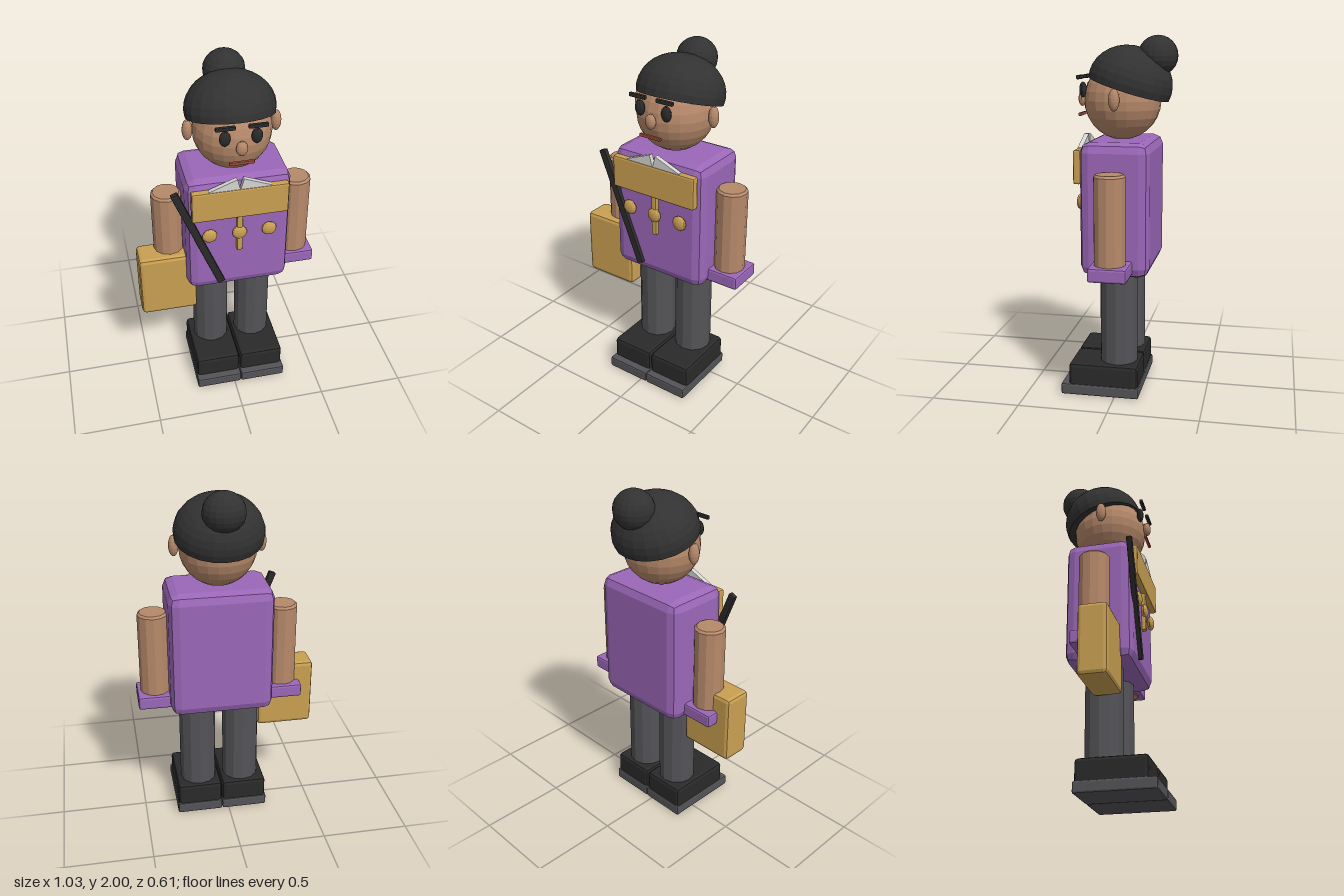
import * as THREE from 'three';
import { RoundedBoxGeometry } from 'three/addons/geometries/RoundedBoxGeometry.js';

const mat = (name, color) => {
  const m = new THREE.MeshStandardMaterial({ color, flatShading: true });
  m.name = name;
  return m;
};

export function createModel() {
  const purple = mat('purple cloth', 0x9b67b8);
  const gold = mat('gold', 0xcaa052);
  const skin = mat('skin', 0xb6896a);
  const hair = mat('hair black', 0x323232);
  const black = mat('shoe black', 0x2a2a2a);
  const grey = mat('trouser grey', 0x545458);
  const white = mat('collar white', 0xd6d6d4);
  const red = mat('lip red', 0x9e4a38);

  const root = new THREE.Group();
  root.name = 'figure';
  const CX = 0.04; // the body's centre line

  const add = (name, geometry, material, x, y, z, parent = root) => {
    const m = new THREE.Mesh(geometry, material);
    m.name = name;
    m.position.set(x, y, z);
    parent.add(m);
    return m;
  };
  // box given by its limits on each axis, with bevelled edges
  const block = (name, material, [x0, x1], [y0, y1], [z0, z1], r) =>
    add(name, new RoundedBoxGeometry(x1 - x0, y1 - y0, z1 - z0, 1, r), material,
      (x0 + x1) / 2, (y0 + y1) / 2, (z0 + z1) / 2);
  const ball = (name, material, x, y, z, rx, ry, rz, seg = 14) => {
    const g = new THREE.SphereGeometry(1, seg, Math.round(seg * 0.65));
    return add(name, g.scale(rx, ry, rz), material, x, y, z);
  };
  // twelve-sided limb with a small bevel at each end
  const limb = (name, material, x, z, r, y0, y1) => {
    const b = 0.012;
    const profile = [[0, y0], [r - b, y0], [r, y0 + b], [r, y1 - b], [r - b, y1], [0, y1]]
      .map(([px, py]) => new THREE.Vector2(px, py));
    return add(name, new THREE.LatheGeometry(profile, 12), material, x, 0, z);
  };

  // torso
  block('torso', purple, [-0.25, 0.335], [0.705, 1.44], [-0.193, 0.188], 0.055);

  // legs, shoes, arms and cuffs
  for (const s of [-1, 1]) {
    const side = s > 0 ? 'left' : 'right';
    limb(side + 'Leg', grey, CX + s * 0.129, -0.003, 0.107, 0.1, 0.73);
    const span = (a, b) => (s > 0 ? [CX + a, CX + b] : [CX - b, CX - a]);
    block(side + 'Shoe', black, span(0.003, 0.265), [0.02, 0.185], [-0.13, 0.262], 0.02);
    block(side + 'Sole', grey, span(0.001, 0.27), [0, 0.065], [-0.137, 0.306], 0.01);
    const ax = CX + s * 0.369;
    limb(side + 'Arm', skin, ax, 0, 0.086, 0.724, 1.29);
    block(side + 'Cuff', purple, [ax - 0.105, ax + 0.105], [0.73, 0.807], [-0.107, 0.102], 0.012);
  }

  // bag at the right hand
  block('bag', gold, [-0.517, -0.19], [0.515, 0.913], [-0.04, 0.123], 0.022);

  // chest yoke, placket and buttons
  block('yoke', gold, [-0.225, 0.307], [1.213, 1.398], [0.18, 0.222], 0.01);
  block('placket', gold, [0.025, 0.057], [0.98, 1.23], [0.18, 0.212], 0.007);
  for (const i of [-1, 0, 1])
    ball('button', gold, CX + i * 0.167, 1.102, 0.204, 0.042, 0.042, 0.02);

  // collar points
  for (const s of [-1, 1]) {
    const shape = new THREE.Shape(
      [[0.17, 1.40], [0.018, 1.46], [-0.002, 1.385], [0.17, 1.38]]
        .map(([x, y]) => new THREE.Vector2(s * x, y)));
    const g = new THREE.ExtrudeGeometry(shape, { depth: 0.026, bevelEnabled: false });
    add('collarPoint', g, white, CX, 0, 0.191);
  }

  // slanted baton across the chest
  const baton = add('baton', new RoundedBoxGeometry(0.042, 0.69, 0.03, 1, 0.006),
    black, -0.187, 1.08, 0.195);
  baton.rotation.z = 0.376;

  // head and face
  ball('head', skin, CX, 1.65, 0, 0.214, 0.218, 0.214, 22);
  for (const s of [-1, 1]) {
    ball('ear', skin, CX + s * 0.24, 1.663, 0.002, 0.028, 0.06, 0.03);
    ball('eye', black, CX + s * 0.084, 1.708, 0.205, 0.03, 0.043, 0.02);
    const x = CX + s * 0.085;
    block('eyebrow', black, [x - 0.052, x + 0.052], [1.765, 1.787], [0.211, 0.231], 0.005);
  }
  ball('nose', skin, CX, 1.655, 0.228, 0.031, 0.042, 0.023);
  block('mouth', red, [-0.027, 0.107], [1.562, 1.58], [0.221, 0.237], 0.004);

  // hair cap, tilted back and closed underneath, with a bun
  const rim = 0.56 * Math.PI;
  const profile = [new THREE.Vector2(0, Math.cos(rim))];
  for (let i = 9; i >= 0; i--) {
    const t = (rim * i) / 9;
    profile.push(new THREE.Vector2(Math.sin(t), Math.cos(t)));
  }
  const cap = new THREE.LatheGeometry(profile, 22).scale(0.246, 0.2, 0.235);
  add('hairCap', cap, hair, CX, 1.745, -0.045).rotation.x = -0.3;
  ball('hairBun', hair, CX, 1.89, -0.195, 0.115, 0.11, 0.11, 18);

  return root;
}
